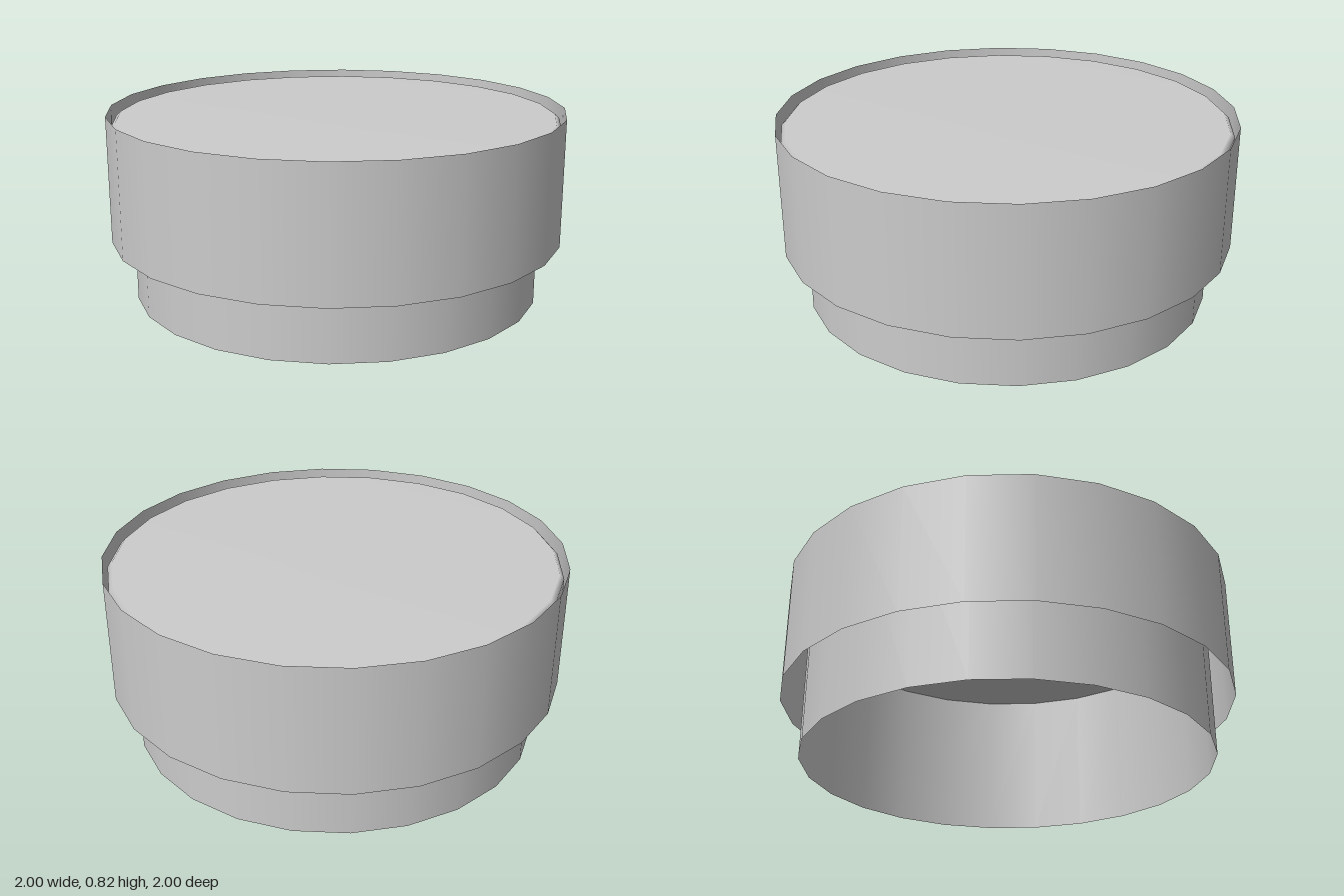
import * as THREE from 'three';

const SIDES = 24;

// Turns a profile of [radius, height] points about the vertical axis
function turned(name, profile, material) {
  const points = profile.map(([r, y]) => new THREE.Vector2(r, y));
  const mesh = new THREE.Mesh(new THREE.LatheGeometry(points, SIDES), material);
  mesh.name = name;
  return mesh;
}

export function createModel() {
  const group = new THREE.Group();
  group.name = 'cap';
  const material = new THREE.MeshStandardMaterial({ color: 0xcccccc, side: THREE.DoubleSide });

  // Thin open walls: wide upper ring and narrower lower sleeve
  group.add(turned('outerRing', [[1, 0.267], [1, 0.823]], material));
  group.add(turned('innerSleeve', [[0.9, 0], [0.9, 0.69]], material));

  // Softly bevelled disc set just below the upper rim
  group.add(turned('topDisc', [
    [0, 0.69], [0.96, 0.69], [0.98, 0.71],
    [0.98, 0.775], [0.96, 0.795], [0, 0.795],
  ], material));

  return group;
}
